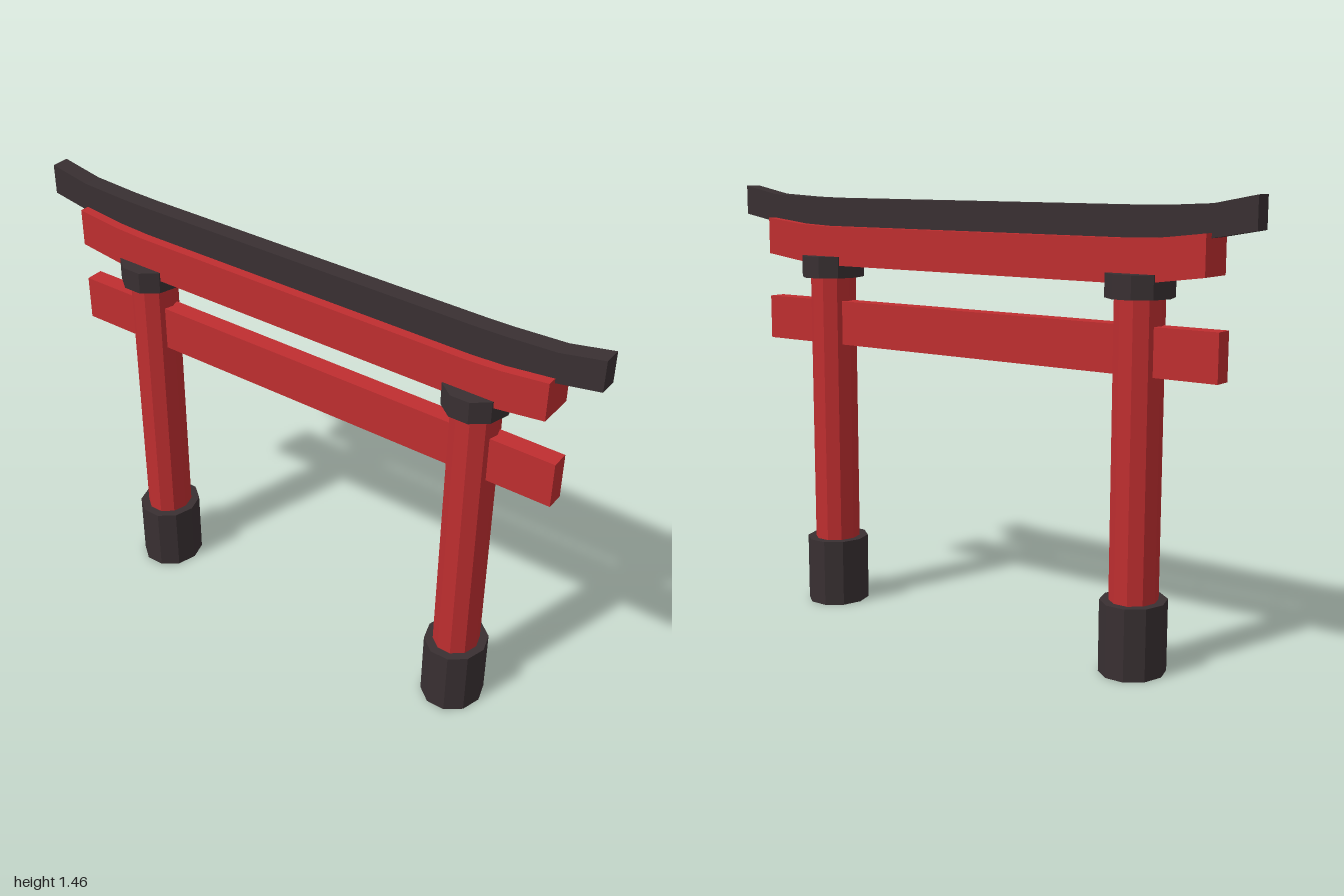
import * as THREE from 'three';

const red = new THREE.MeshStandardMaterial({ color: 0xbf2e30, flatShading: true });
red.name = 'vermilion';
const dark = new THREE.MeshStandardMaterial({ color: 0x393032, flatShading: true });
dark.name = 'charcoal';

function addMesh(parent, name, geometry, material) {
  const mesh = new THREE.Mesh(geometry, material);
  mesh.name = name;
  parent.add(mesh);
  return mesh;
}

// Ten-sided drum with a corner facing sideways, slightly deeper than wide
function drum(rx, rz, y0, y1) {
  return new THREE.CylinderGeometry(1, 1, y1 - y0, 10)
    .rotateY(Math.PI / 2)
    .scale(rx, 1, rz)
    .translate(0, (y0 + y1) / 2, 0);
}

// Beam with upswept ends; half profile runs outwards as [x, bottom, top]
function sweptBeam(half, depth) {
  const mirrored = half.map(([x, b, t]) => [-x, b, t]).reverse();
  const stations = [...mirrored, ...half];
  const bottom = stations.map(([x, b]) => new THREE.Vector2(x, b));
  const top = stations.map(([x, , t]) => new THREE.Vector2(x, t)).reverse();
  return new THREE.ExtrudeGeometry(new THREE.Shape([...bottom, ...top]), {
    depth, bevelEnabled: false,
  }).translate(0, 0, -depth / 2);
}

export function createModel() {
  const gate = new THREE.Group();
  gate.name = 'gate';

  // Two posts, each with a foot and a collar
  for (const side of [-1, 1]) {
    const post = new THREE.Group();
    post.name = side > 0 ? 'leftPost' : 'rightPost';
    post.position.x = side * 0.615;
    addMesh(post, 'foot', drum(0.103, 0.112, 0, 0.23), dark);
    addMesh(post, 'shaft', drum(0.075, 0.082, 0.2, 1.18), red);
    addMesh(post, 'collar', drum(0.103, 0.112, 1.157, 1.23), dark);
    gate.add(post);
  }

  // Straight lower tie beam passing through the posts
  addMesh(gate, 'tieBeam', new THREE.BoxGeometry(1.786, 0.15, 0.06), red)
    .position.y = 1.001;

  // Upper lintel and its dark cap
  addMesh(gate, 'lintel', sweptBeam([
    [0.6, 1.2, 1.332], [0.71, 1.21, 1.337], [0.86, 1.23, 1.354],
  ], 0.124), red);
  addMesh(gate, 'capBeam', sweptBeam([
    [0.6, 1.325, 1.426], [0.7, 1.328, 1.428], [0.86, 1.339, 1.436], [1, 1.364, 1.463],
  ], 0.06), dark);

  return gate;
}
